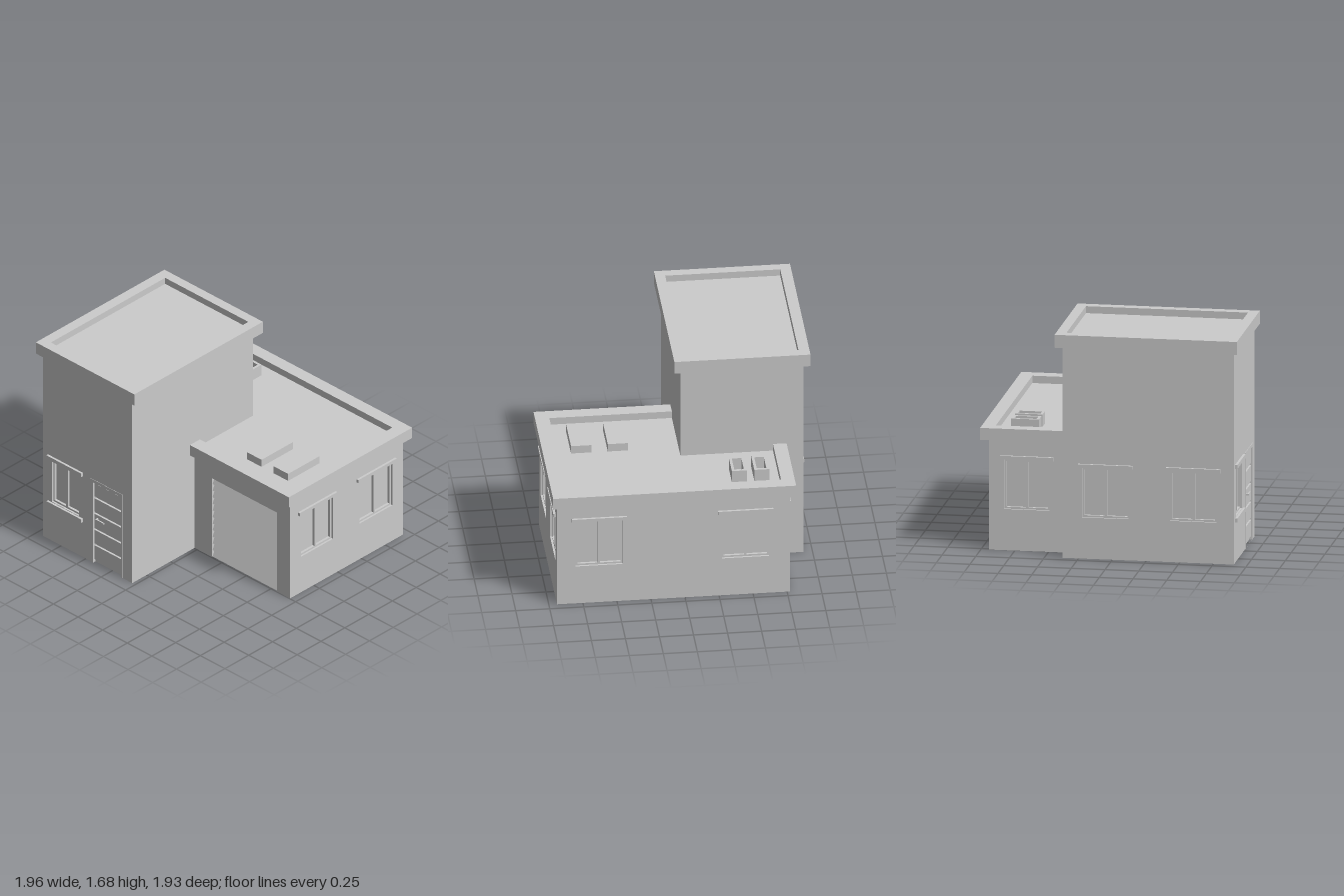
import * as THREE from 'three';

const mat = new THREE.MeshStandardMaterial({ color: 0xcccccc, flatShading: true, side: THREE.DoubleSide });

function add(parent, name, geometry) {
  const mesh = new THREE.Mesh(geometry, mat);
  mesh.name = name;
  parent.add(mesh);
  return mesh;
}

// Box given by its limits on each axis
function block(parent, name, x0, x1, y0, y1, z0, z1) {
  const m = add(parent, name, new THREE.BoxGeometry(x1 - x0, y1 - y0, z1 - z0));
  m.position.set((x0 + x1) / 2, (y0 + y1) / 2, (z0 + z1) / 2);
  return m;
}

const poly = pts => pts.map(p => new THREE.Vector2(p[0], p[1]));
const rect = (x0, x1, y0, y1) => poly([[x0, y0], [x1, y0], [x1, y1], [x0, y1]]);

function shapeOf(outline, holes = []) {
  const s = new THREE.Shape(outline);
  holes.forEach(h => s.holes.push(new THREE.Path(h)));
  return s;
}

// Upright plate between two depths
function plate(parent, name, outline, holes, z0, z1) {
  const g = new THREE.ExtrudeGeometry(shapeOf(outline, holes), { depth: z1 - z0, bevelEnabled: false });
  add(parent, name, g.translate(0, 0, z0));
}

// Flat slab from a plan of (x, z) points, between two heights
function slab(parent, name, outline, holes, y0, y1) {
  const flip = a => a.map(p => new THREE.Vector2(p.x, -p.y));
  const g = new THREE.ExtrudeGeometry(shapeOf(flip(outline), holes.map(flip)), { depth: y1 - y0, bevelEnabled: false });
  add(parent, name, g.rotateX(-Math.PI / 2).translate(0, y0, 0));
}

// Two-pane window set back in its opening, with a lintel and optional sill
function addWindow(wall, { c, w, y0, y1, over = 0.03, lintelH = 0.03, sill = false }) {
  const g = new THREE.Group();
  g.name = 'window';
  wall.add(g);
  const a = c - w / 2, b = c + w / 2, t = 0.018;
  plate(g, 'windowReveal', rect(a, b, y0, y1), [rect(a + 0.004, b - 0.004, y0 + 0.004, y1 - 0.004)], -0.04, 0);
  plate(g, 'windowFrame', rect(a, b, y0, y1), [
    rect(a + t, c - t / 2, y0 + t, y1 - t),
    rect(c + t / 2, b - t, y0 + t, y1 - t),
  ], -0.035, -0.015);
  block(g, 'windowPane', a, b, y0, y1, -0.04, -0.034);
  block(g, 'windowLintel', a - over, b + over, y1, y1 + lintelH, -0.01, 0.018);
  if (sill) block(g, 'windowSill', a - over, b + over, y0 - 0.03, y0, -0.01, 0.018);
}

// Wall in its own frame: x runs along it, z points outwards
function addWall(parent, name, angle, dist, u0, u1, h, windows = [], openings = []) {
  const wall = new THREE.Group();
  wall.name = name;
  wall.rotation.y = angle;
  wall.position.set(Math.sin(angle) * dist, 0, Math.cos(angle) * dist);
  parent.add(wall);
  const holes = windows.map(o => rect(o.c - o.w / 2, o.c + o.w / 2, o.y0, o.y1)).concat(openings);
  add(wall, name + 'Surface', new THREE.ShapeGeometry(shapeOf(rect(u0, u1, 0, h), holes)));
  windows.forEach(o => addWindow(wall, o));
  return wall;
}

const sideWindow = (c, w = 0.355) => ({ c, w, y0: 0.305, y1: 0.685, lintelH: 0.026, over: 0.025 });

function addFrontDoor(wall) {
  const door = new THREE.Group();
  door.name = 'frontDoor';
  wall.add(door);
  plate(door, 'doorFrame', poly([[-0.45, 0], [-0.425, 0], [-0.425, 0.7], [-0.14, 0.7], [-0.14, 0], [-0.125, 0], [-0.125, 0.725], [-0.45, 0.725]]),
    [], -0.035, 0.003);
  block(door, 'doorLeaf', -0.425, -0.14, 0, 0.7, -0.035, -0.022);
  // Raised boards separated by grooves
  const cuts = [0.03, 0.16, 0.295, 0.435, 0.57, 0.7];
  for (let i = 0; i < 5; i++) {
    block(door, 'doorBoard', -0.417, -0.146, cuts[i] + (i ? 0.009 : 0), cuts[i + 1] - 0.009, -0.024, -0.006);
  }
  block(door, 'doorHandle', -0.39, -0.305, 0.39, 0.402, 0.008, 0.018);
  block(door, 'doorHandleStem', -0.39, -0.378, 0.39, 0.402, -0.01, 0.012);
  // Sloping canopy, extruded sideways from its profile
  const profile = shapeOf(poly([[0, 0.725], [0.1, 0.725], [0.1, 0.75], [0, 0.775]]));
  const g = new THREE.ExtrudeGeometry(profile, { depth: 0.4, bevelEnabled: false });
  add(wall, 'doorCanopy', g.rotateY(-Math.PI / 2).translate(-0.095, 0, 0)).scale.z = -1;
}

function addGarageDoor(wall) {
  const door = new THREE.Group();
  door.name = 'garageDoor';
  wall.add(door);
  plate(door, 'garageReveal', poly([[0.14, 0], [0.145, 0], [0.145, 0.687], [0.805, 0.687], [0.805, 0], [0.81, 0], [0.81, 0.692], [0.14, 0.692]]),
    [], -0.04, 0);
  // Overlapping slats leaning back at the top
  const n = 12, h = 0.69 / n;
  const pts = [];
  for (let i = 0; i < n; i++) pts.push([-0.008, i * h], [-0.034, (i + 1) * h]);
  pts.push([-0.04, 0.69], [-0.04, 0]);
  const g = new THREE.ExtrudeGeometry(shapeOf(poly(pts)), { depth: 0.66, bevelEnabled: false });
  // Profile depth becomes z, extrusion runs along x
  add(door, 'garageSlats', g.rotateY(-Math.PI / 2).translate(-0.145, 0, 0)).rotation.y = 0;
  door.children[1].geometry.rotateY(Math.PI);
  door.children[1].geometry.scale(1, 1, -1);
  const idx = door.children[1].geometry;
  const p = idx.attributes.position.array;
  // Restore outward corner order after mirroring
  for (let i = 0; i < p.length; i += 9) {
    for (let k = 0; k < 3; k++) [p[i + 3 + k], p[i + 6 + k]] = [p[i + 6 + k], p[i + 3 + k]];
  }
  idx.computeVertexNormals();
}

export function createModel() {
  const house = new THREE.Group();
  house.name = 'house';
  const H = Math.PI / 2;

  // Tower walls
  const tower = new THREE.Group();
  tower.name = 'tower';
  house.add(tower);
  const frontWindow = { c: -0.708, w: 0.285, y0: 0.335, y1: 0.705, over: 0.035, sill: true };
  const front = addWall(tower, 'towerFrontWall', 0, 0.9, -0.935, -0.03, 1.6, [frontWindow],
    [rect(-0.45, -0.125, 0.001, 0.725)]);
  addFrontDoor(front);
  addWall(tower, 'towerLeftWall', H, -0.03, -0.9, 0.37, 1.6);
  addWall(tower, 'towerBackWall', 2 * H, 0.37, 0.03, 0.935, 1.6);
  addWall(tower, 'towerRightWall', -H, 0.935, -0.37, 0.9, 1.6, [sideWindow(-0.05), sideWindow(0.6)]);

  // Tower roof
  const towerRim = rect(-0.98, 0.02, -0.42, 0.93);
  slab(tower, 'towerRoof', towerRim, [], 1.585, 1.63);
  slab(tower, 'towerParapet', towerRim, [rect(-0.9, -0.055, -0.345, 0.855)], 1.63, 1.682);

  // Garage wing walls
  const wing = new THREE.Group();
  wing.name = 'garageWing';
  house.add(wing);
  const garageFront = addWall(wing, 'wingFrontWall', 0, 0.245, -0.03, 0.94, 0.84, [],
    [rect(0.14, 0.81, 0.001, 0.692)]);
  addGarageDoor(garageFront);
  addWall(wing, 'wingLeftWall', H, 0.94, -0.245, 0.94, 0.84, [sideWindow(0.035, 0.345), sideWindow(0.655)]);
  addWall(wing, 'wingBackWall', 2 * H, 0.94, -0.94, 0.77, 0.84, [sideWindow(-0.63), sideWindow(0.445)]);
  addWall(wing, 'wingRightWall', -H, 0.77, -0.94, -0.37, 0.84, [sideWindow(-0.66, 0.345)]);

  // Garage wing roof, wrapped round the tower
  slab(wing, 'wingRoof', poly([[-0.81, -1], [0.975, -1], [0.975, 0.295], [-0.03, 0.295], [-0.03, -0.37], [-0.81, -0.37]]),
    [], 0.83, 0.865);
  slab(wing, 'wingParapet', poly([[-0.81, -1], [0.975, -1], [0.975, 0.295], [-0.03, 0.295], [-0.03, 0.19],
    [0.87, 0.19], [0.87, -0.9], [-0.71, -0.9], [-0.71, -0.37], [-0.81, -0.37]]), [], 0.865, 0.92);

  // Skylights and open vents
  [0.34, 0.61].forEach(x => block(wing, 'skylight', x, x + 0.15, 0.86, 0.926, -0.25, 0.08));
  [-0.635, -0.47].forEach(x => slab(wing, 'roofVent', rect(x, x + 0.11, -0.8, -0.595),
    [rect(x + 0.02, x + 0.09, -0.78, -0.615)], 0.86, 0.957));

  return house;
}
